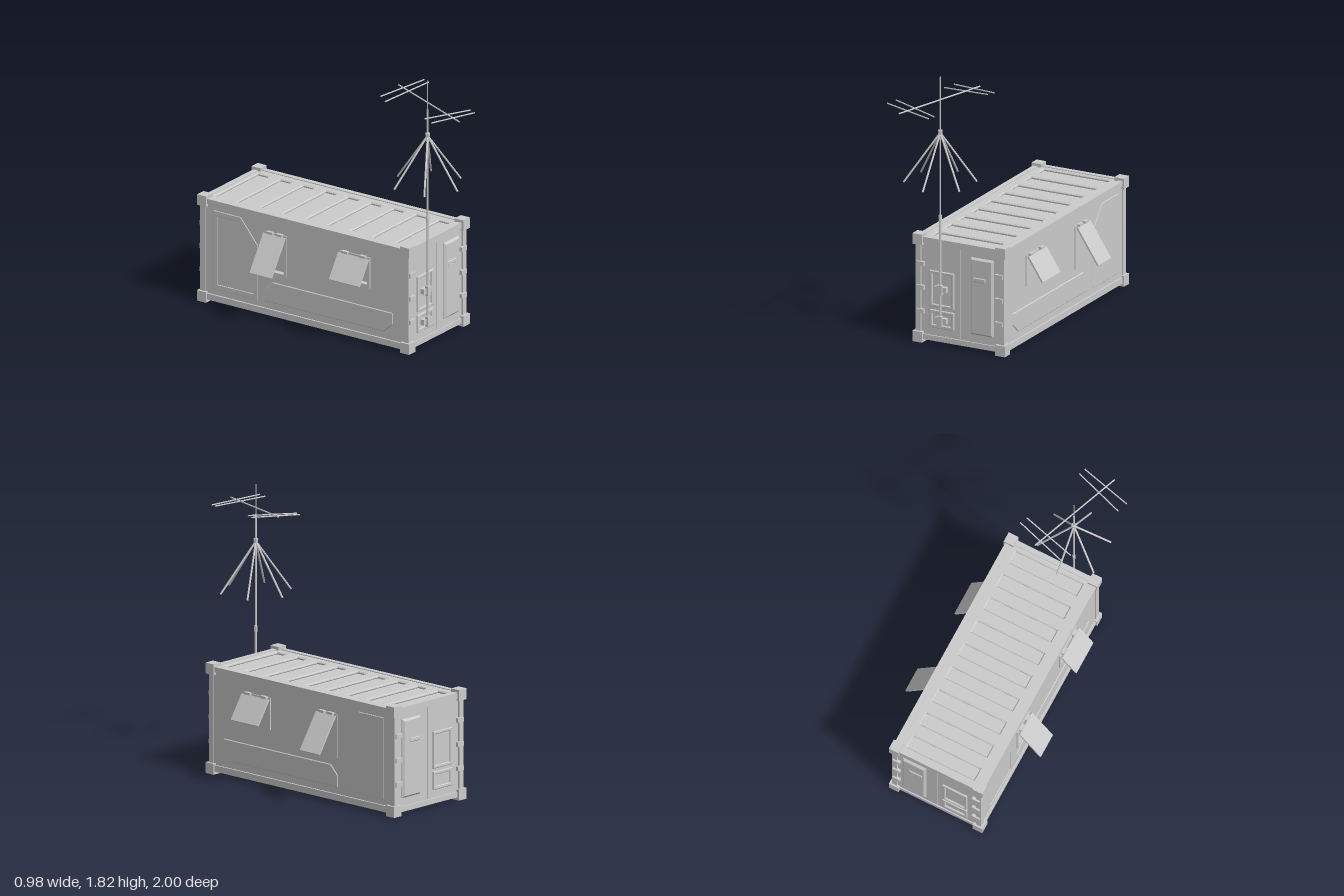
import * as THREE from 'three';

const mat = new THREE.MeshStandardMaterial({ color: 0xcccccc, flatShading: true });
const X = 0.32, ZF = 0.63, ZB = -0.97, ZC = (ZF + ZB) / 2, LEN = ZF - ZB;

function add(parent, name, geo, x = 0, y = 0, z = 0) {
  const m = new THREE.Mesh(geo, mat);
  m.name = name;
  m.position.set(x, y, z);
  parent.add(m);
  return m;
}
const box = (parent, name, w, h, d, x, y, z) =>
  add(parent, name, new THREE.BoxGeometry(w, h, d), x, y, z);

// round bar between two points
function bar(parent, name, a, b, r, sides = 8) {
  const p = new THREE.Vector3(...a), q = new THREE.Vector3(...b);
  const d = q.clone().sub(p);
  const m = add(parent, name, new THREE.CylinderGeometry(r, r, d.length(), sides));
  m.position.copy(p).add(q).multiplyScalar(0.5);
  m.quaternion.setFromUnitVectors(new THREE.Vector3(0, 1, 0), d.normalize());
  return m;
}

const rect = (x0, y0, x1, y1) => [[x0, y0], [x1, y0], [x1, y1], [x0, y1]];
const toVecs = (pts) => pts.map(([x, y]) => new THREE.Vector2(x, y));

// plate with optional holes and chamfered rim, facing +z
function plate(outline, holes, depth, bevel = 0) {
  const shape = new THREE.Shape(toVecs(outline));
  holes.forEach((h) => shape.holes.push(new THREE.Path(toVecs(h))));
  return new THREE.ExtrudeGeometry(shape, {
    depth, bevelEnabled: bevel > 0, bevelSegments: 1,
    bevelSize: bevel, bevelOffset: -bevel, bevelThickness: bevel,
  });
}

// frame: corner castings, posts and rails
function buildFrame(g) {
  for (const s of [-1, 1]) {
    for (const y of [0.036, 0.694])
      for (const z of [0.627, -0.963]) box(g, 'cornerCasting', 0.07, 0.072, 0.07, s * 0.302, y, z);
    for (const z of [0.626, -0.966]) box(g, 'cornerPost', 0.036, 0.62, 0.04, s * 0.304, 0.365, z);
    box(g, 'topSideRail', 0.035, 0.035, LEN, s * 0.3095, 0.6935, ZC);
    box(g, 'bottomSideRail', 0.035, 0.042, LEN, s * 0.3095, 0.041, ZC);
  }
  for (const z of [0.627, -0.967]) {
    box(g, 'topEndRail', 0.56, 0.042, 0.035, 0, 0.69, z);
    box(g, 'bottomEndRail', 0.56, 0.035, 0.035, 0, 0.0375, z);
  }
}

// roof sheet with nine pressed recesses
function buildRoof(g) {
  const holes = [];
  for (let i = 0; i < 9; i++) {
    const z = -0.883 + i * 0.177;
    holes.push(rect(-0.24, -z - 0.043, 0.24, -z + 0.043));
  }
  const roof = add(g, 'roof', plate(rect(-0.3, -ZF, 0.3, -ZB), holes, 0.006, 0.007), 0, 0.693, 0);
  roof.rotation.x = -Math.PI / 2;
}

// side wall, raised panels and propped hatches; s is the sign of x
const hatches = [
  { z0: 0.107, z1: 0.343, bottom: 0.38, length: 0.187 },
  { z0: -0.48, z1: -0.31, bottom: 0.3, length: 0.275 },
];
const bigPanel = [[-0.535, 0.1], [-0.535, 0.475], [-0.67, 0.64], [-0.885, 0.64], [-0.885, 0.1]];
const bigInner = [[-0.57, 0.137], [-0.57, 0.46], [-0.686, 0.605], [-0.848, 0.605], [-0.848, 0.137]];
const lowPanel = [[0.52, 0.25], [-0.42, 0.25], [-0.483, 0.187], [-0.483, 0.107], [0.45, 0.107], [0.52, 0.17]];

function buildSide(g, s) {
  const onSide = (name, outline, holes, x, depth, bevel) => {
    const turn = (pts) => pts.map(([z, y]) => [-s * z, y]);
    const m = add(g, name, plate(turn(outline), holes.map(turn), depth, bevel), s * x, 0, 0);
    m.rotation.y = s * Math.PI / 2;
  };
  const inner = (h) => rect(h.z0 + 0.022, h.bottom + 0.022, h.z1 - 0.022, 0.568);
  onSide('sideWall', rect(ZB, 0.04, ZF, 0.69), hatches.map(inner), 0.28, 0.035);
  onSide('accessPanel', bigPanel, [bigInner], 0.313, 0.004, 0.003);
  onSide('lowerPanel', lowPanel, [], 0.313, 0.002, 0.005);
  for (const h of hatches) {
    const w = h.z1 - h.z0, zc = (h.z0 + h.z1) / 2;
    onSide('hatchFrame', rect(h.z0, h.bottom, h.z1, 0.59), [inner(h)], 0.312, 0.01);
    const pivot = new THREE.Group();
    pivot.name = 'hatchFlap';
    pivot.position.set(s * 0.333, 0.582, zc);
    pivot.rotation.z = s * 0.58;
    box(pivot, 'flap', 0.012, h.length, w, 0, -h.length / 2, 0);
    g.add(pivot);
    for (const k of [-1, 1])
      box(g, 'hatchHinge', 0.022, 0.024, 0.046, s * 0.329, 0.586, zc + k * (w / 2 - 0.047));
  }
}

// end wall doors, facing +z at local z = 0; m mirrors x so both ends line up
function buildEnd(name, m) {
  const g = new THREE.Group();
  g.name = name;
  const flat = (n, x0, y0, x1, y1, holes, z, depth, bevel) => {
    const c = (r) => (m > 0 ? rect(...r) : rect(-r[2], r[1], -r[0], r[3]));
    add(g, n, plate(c([x0, y0, x1, y1]), holes.map(c), depth, bevel), 0, 0, z);
  };
  // two door leaves with a centre seam
  flat('doorLeaf', -0.28, 0.056, -0.002, 0.668, [], -0.02, 0.027);
  flat('doorLeaf', 0.002, 0.056, 0.28, 0.668, [], -0.02, 0.027);
  flat('doorPanel', 0.077, 0.11, 0.245, 0.63, [], 0.006, 0.004, 0.013);
  flat('doorHandle', 0.1, 0.472, 0.19, 0.5, [], 0.02, 0.006, 0.004);
  flat('upperVent', -0.22, 0.25, -0.043, 0.495, [[-0.2, 0.27, -0.065, 0.475]], 0.006, 0.008, 0.004);
  flat('lowerVent', -0.22, 0.11, -0.043, 0.23, [[-0.2, 0.132, -0.065, 0.208]], 0.006, 0.008, 0.004);
  for (const s of [-1, 1])
    for (const y of [0.21, 0.37, 0.53]) box(g, 'doorHinge', 0.054, 0.03, 0.026, s * 0.286, y, 0.014);
  return g;
}

// telescopic mast with six radials and a double-ended aerial
function buildMast() {
  const g = new THREE.Group();
  g.name = 'mast';
  g.position.set(-0.133, 0, 0.663);
  bar(g, 'lowerTube', [0, 0.13, 0], [0, 0.87, 0], 0.008);
  bar(g, 'middleTube', [0, 0.87, 0], [0, 1.62, 0], 0.006);
  bar(g, 'topRod', [0, 1.62, 0], [0, 1.82, 0], 0.0035);
  bar(g, 'collar', [0, 0.845, 0], [0, 0.885, 0], 0.011);
  add(g, 'radialHub', new THREE.CylinderGeometry(0.016, 0.011, 0.06, 8), 0, 1.43, 0);
  for (let i = 0; i < 6; i++) {
    const a = i * Math.PI / 3;
    bar(g, 'radial', [0, 1.442, 0], [Math.sin(a) * 0.235, 1.11, Math.cos(a) * 0.235], 0.0065);
  }
  for (const y of [0.17, 0.38]) {
    box(g, 'mastClamp', 0.036, 0.066, 0.022, 0, y, 0.004);
    box(g, 'mastBracket', 0.084, 0.036, 0.03, 0, y, -0.012);
  }
  return g;
}

function buildAerial() {
  const g = new THREE.Group();
  g.name = 'aerial';
  bar(g, 'boom', [-0.013, 1.682, 0.352], [-0.253, 1.65, 0.995], 0.005);
  const elements = [
    [[-0.375, 1.667, 0.81], [-0.034, 1.645, 0.928]],
    [[-0.4, 1.662, 0.88], [-0.05, 1.642, 0.972]],
    [[-0.205, 1.662, 0.345], [0.14, 1.69, 0.444]],
    [[-0.243, 1.652, 0.407], [0.12, 1.69, 0.492]],
  ];
  for (const [a, b] of elements) bar(g, 'element', a, b, 0.0045);
  return g;
}

export function createModel() {
  const g = new THREE.Group();
  g.name = 'shelterContainer';
  box(g, 'core', 0.57, 0.658, LEN - 0.02, 0, 0.359, ZC);
  buildFrame(g);
  buildRoof(g);
  for (const s of [-1, 1]) buildSide(g, s);
  const front = buildEnd('frontDoors', 1);
  front.position.z = ZF;
  const back = buildEnd('backDoors', -1);
  back.position.z = ZB;
  back.rotation.y = Math.PI;
  g.add(front, back, buildMast(), buildAerial());
  return g;
}
